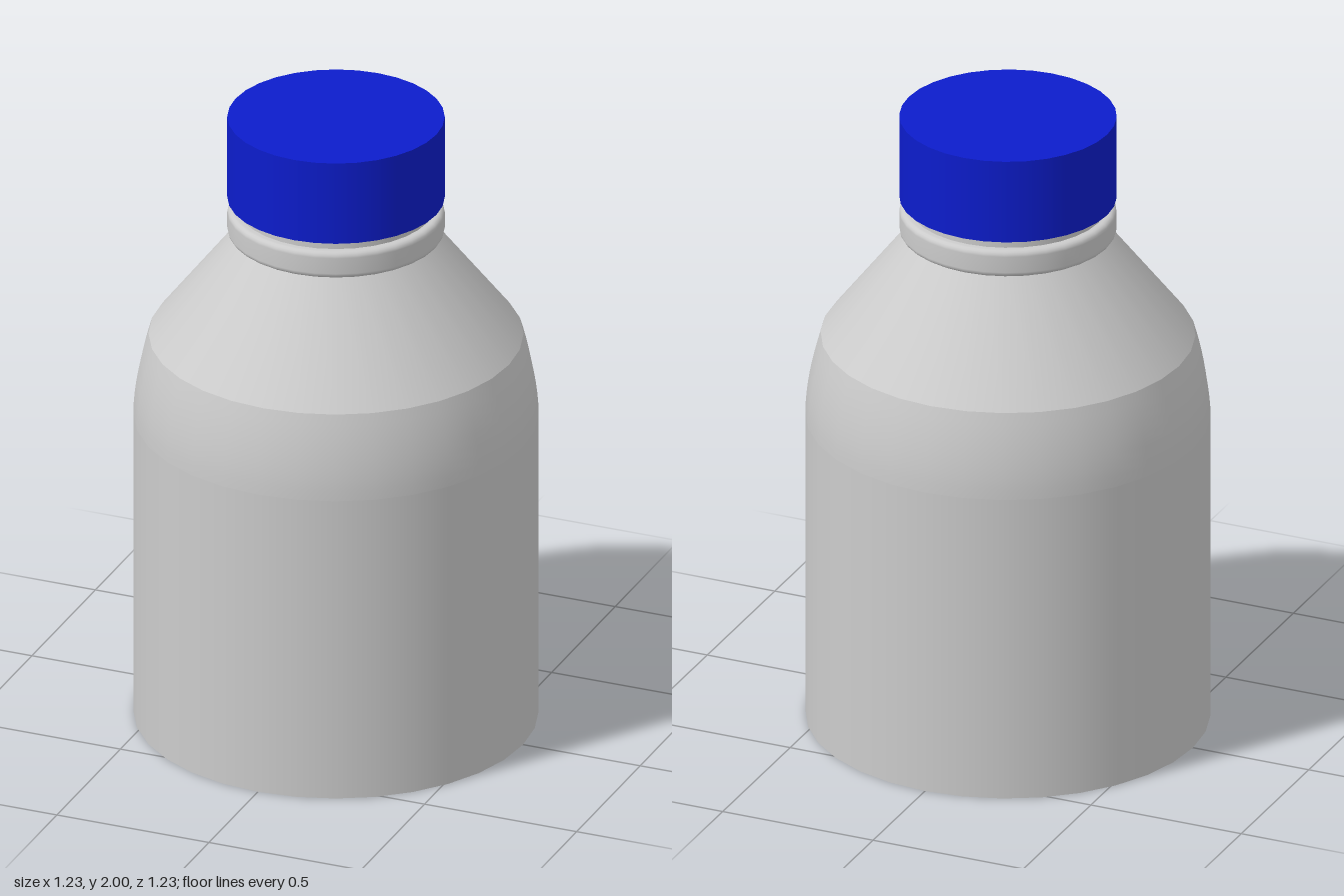
import * as THREE from 'three';

const SIDES = 32;
const grey = new THREE.MeshStandardMaterial({ color: 0xcccccc });
const blue = new THREE.MeshStandardMaterial({ color: 0x0c1ccc });

// One smooth turned surface; profile points are [radius, height]
function turned(name, profile, material) {
  const points = profile.map(([r, y]) => new THREE.Vector2(r, y));
  const mesh = new THREE.Mesh(new THREE.LatheGeometry(points, SIDES), material);
  mesh.name = name;
  return mesh;
}

export function createModel() {
  const model = new THREE.Group();
  model.name = 'bottle';

  // Body: separate sections keep the edges between them sharp
  const body = new THREE.Group();
  body.name = 'body';
  const curve = [];
  for (let i = 0; i <= 8; i++) {
    const t = i / 8;
    curve.push([0.615 - 0.046 * t ** 1.8, 1 + 0.27 * t]);
  }
  body.add(
    turned('base', [[0, 0], [0.615, 0]], grey),
    turned('wall', [[0.615, 0], [0.615, 1]], grey),
    turned('upperWall', curve, grey),
    turned('shoulder', [[0.569, 1.27], [0.3, 1.615]], grey),
    turned('neck', [[0.3, 1.6], [0.3, 1.74]], grey)
  );

  // Rounded collar ring around the neck
  const ring = [[0.295, 1.61], [0.315, 1.61]];
  const corner = 0.018;
  for (const [cy, start] of [[1.628, -90], [1.68, 0]]) {
    for (let i = 0; i <= 4; i++) {
      const a = THREE.MathUtils.degToRad(start + i * 22.5);
      ring.push([0.312 + corner * Math.cos(a), cy + corner * Math.sin(a)]);
    }
  }
  ring.push([0.295, 1.698]);
  body.add(turned('collar', ring, grey));

  // Screw cap
  const cap = new THREE.Mesh(new THREE.CylinderGeometry(0.33, 0.33, 0.27, SIDES), blue);
  cap.name = 'cap';
  cap.position.y = 1.865;

  model.add(body, cap);
  return model;
}
